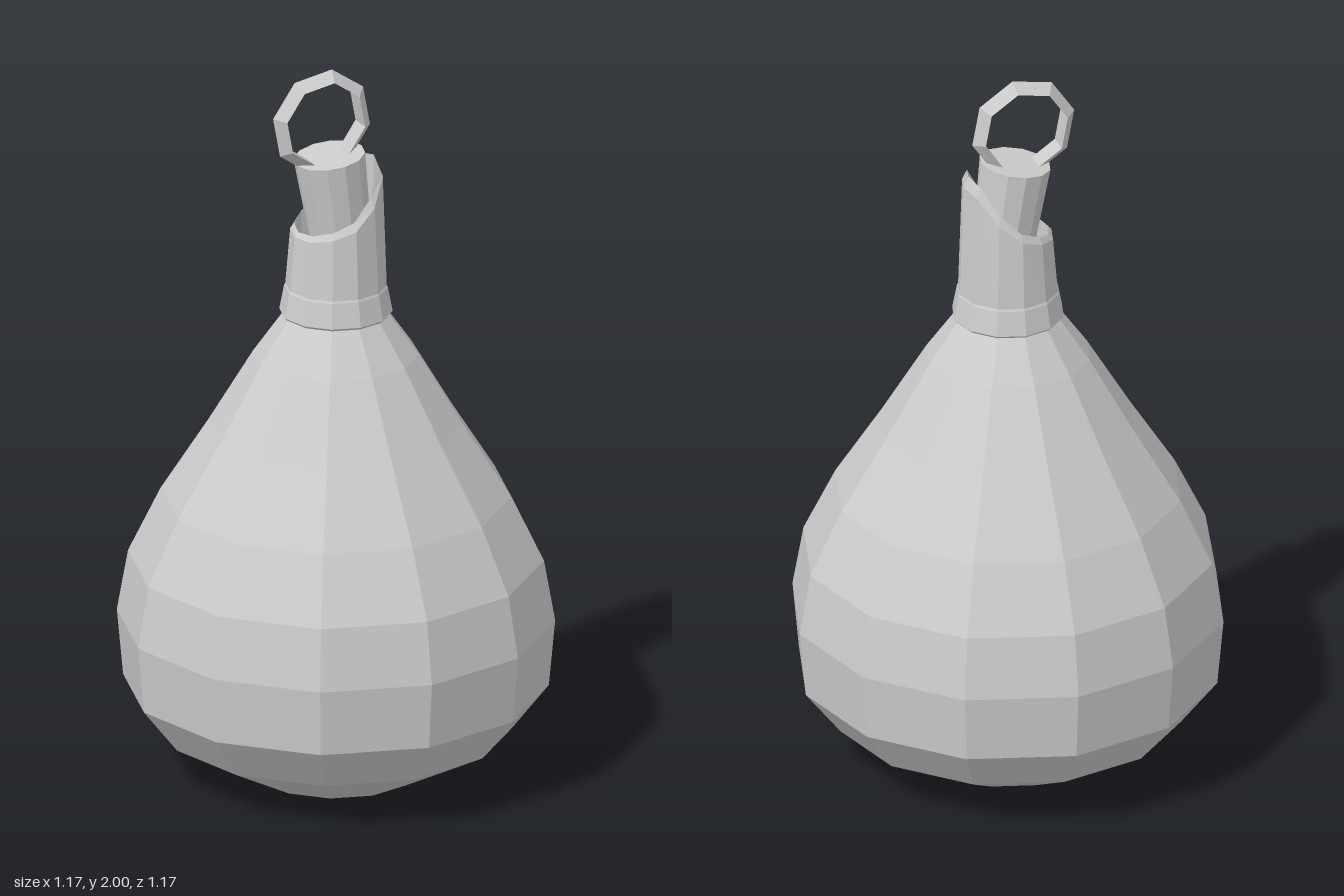
import * as THREE from 'three';

const SIDES = 12;
const material = new THREE.MeshStandardMaterial({ color: 0xcccccc, flatShading: true });

// Faceted solid of revolution from [radius, height] pairs
function turned(name, profile, sides = SIDES) {
  const points = profile.map(([r, y]) => new THREE.Vector2(r, y));
  const mesh = new THREE.Mesh(new THREE.LatheGeometry(points, sides), material);
  mesh.name = name;
  return mesh;
}

// Height of the slanted mouth at each 30 degree step, from the tall +x side round to -x
const MOUTH = [1.737, 1.727, 1.655, 1.598, 1.572, 1.557, 1.552];

function makeSleeve() {
  // Heights of 2 (inner lip) and 1 (outer shoulder) mark points that follow the slanted cut
  const sleeve = turned('neckSleeve', [
    [0.125, 1.375], [0.136, 1.385], [0.124, 1], [0.112, 2], [0.112, 1.42], [0, 1.42],
  ]);
  const pos = sleeve.geometry.attributes.position;
  for (let i = 0; i < pos.count; i++) {
    const mark = pos.getY(i);
    if (mark !== 1 && mark !== 2) continue;
    const angle = Math.abs(Math.atan2(pos.getZ(i), pos.getX(i)));
    const k = Math.round(angle / (Math.PI / 6));
    const drop = 0.012 + 0.02 * (1 - k / 6);
    pos.setY(i, mark === 2 ? MOUTH[k] : MOUTH[k] - drop);
    if (mark === 1) {
      // The low side of the cut sits a touch closer in
      const s = k > 3 ? 0.99 : 1.01;
      pos.setX(i, pos.getX(i) * s);
      pos.setZ(i, pos.getZ(i) * s);
    }
  }
  sleeve.geometry.computeVertexNormals();
  return sleeve;
}

export function createModel() {
  const model = new THREE.Group();
  model.name = 'flask';

  // Pear-shaped body
  model.add(turned('body', [
    [0, 0], [0.225, 0], [0.472, 0.13], [0.57, 0.255], [0.587, 0.44], [0.557, 0.61],
    [0.47, 0.79], [0.342, 0.99], [0.222, 1.19], [0.13, 1.32], [0, 1.33],
  ]));

  // Flared band at the foot of the neck
  model.add(turned('neckCollar', [
    [0.11, 1.312], [0.145, 1.305], [0.152, 1.312], [0.139, 1.38], [0.134, 1.39], [0.11, 1.39],
  ]));

  model.add(makeSleeve());

  // Leaning, tapered stopper
  const stopper = turned('stopper', [[0, -0.33], [0.078, -0.33], [0.097, 0], [0, 0]]);
  stopper.position.set(-0.02, 1.756, 0);
  stopper.rotation.z = 0.14;
  model.add(stopper);

  // Eight-sided pull ring: ridged outside, flat inside
  const ring = turned('pullRing', [
    [0.118, -0.03], [0.147, 0], [0.118, 0.03], [0.118, -0.03],
  ], 8);
  ring.geometry.rotateX(Math.PI / 2);
  ring.rotation.z = THREE.MathUtils.degToRad(33);
  ring.position.set(-0.043, 1.857, 0);
  model.add(ring);

  return model;
}
